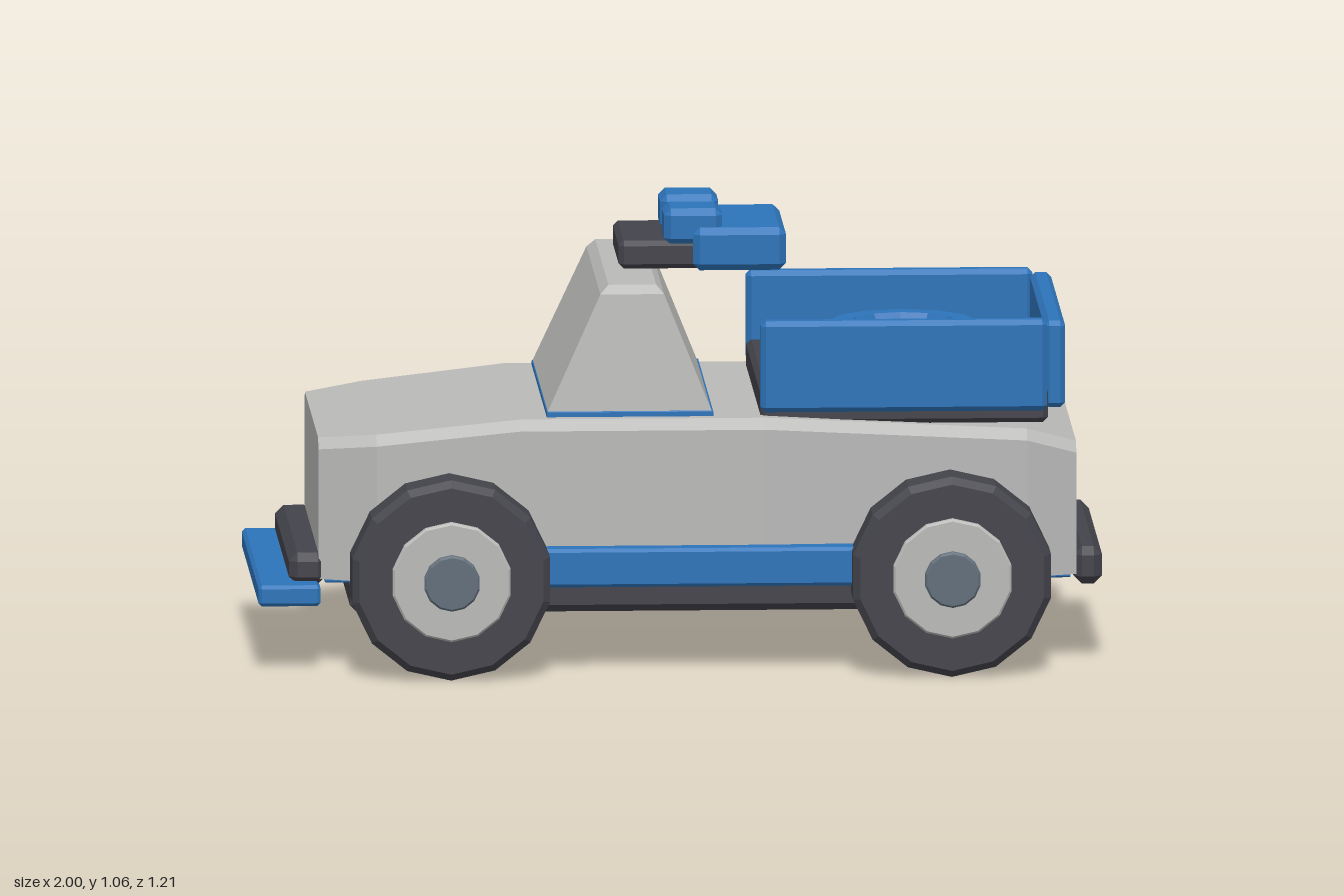
import * as THREE from 'three';
import { ConvexGeometry } from 'three/addons/geometries/ConvexGeometry.js';

const mat = (name, color) => {
  const m = new THREE.MeshStandardMaterial({ color });
  m.name = name;
  return m;
};

export function createModel() {
  const grey = mat('body grey', 0xb9b9b8);
  const blue = mat('trim blue', 0x2d74ba);
  const dark = mat('rubber dark', 0x43434b);
  const slate = mat('hub slate', 0x626e7a);
  const car = new THREE.Group();
  car.name = 'pickupTruck';

  const add = (name, geometry, material, parent = car) => {
    const mesh = new THREE.Mesh(geometry, material);
    mesh.name = name;
    parent.add(mesh);
    return mesh;
  };
  const hull = (name, points, material) =>
    add(name, new ConvexGeometry(points.map((p) => new THREE.Vector3(...p))), material);

  // Box given by its ranges, with every edge chamfered by c
  const block = (name, [x0, x1], [y0, y1], [z0, z1], material, c = 0.012) => {
    const points = [];
    for (const [x, dx] of [[x0, c], [x1, -c]])
      for (const [y, dy] of [[y0, c], [y1, -c]])
        for (const [z, dz] of [[z0, c], [z1, -c]])
          points.push([x, y + dy, z + dz], [x + dx, y, z + dz], [x + dx, y + dy, z]);
    return hull(name, points, material);
  };

  // Body: stations along its length as [x, half width, top]
  const stations = [
    [-0.855, 0.36, 0.55], [-0.72, 0.42, 0.565], [-0.38, 0.44, 0.602],
    [0.2, 0.44, 0.602], [0.82, 0.412, 0.567], [0.938, 0.37, 0.53],
  ];
  const bodyPoints = [];
  for (const [x, w, top] of stations)
    for (const s of [-1, 1])
      bodyPoints.push([x, 0.215, s * w], [x, top - 0.025, s * w], [x, top, s * (w - 0.025)]);
  hull('body', bodyPoints, grey);

  // Cabin: tapered wedge with clipped roof edges
  const cabinPoints = [];
  for (const s of [-1, 1])
    cabinPoints.push(
      [-0.315, 0.612, s * 0.383], [0.075, 0.612, s * 0.383],
      [-0.188, 0.89, s * 0.355], [-0.037, 0.89, s * 0.355],
      [-0.168, 0.91, s * 0.335], [-0.055, 0.91, s * 0.335]);
  hull('cabin', cabinPoints, grey);
  block('cabinBase', [-0.316, 0.078], [0.597, 0.615], [-0.386, 0.386], blue, 0.002);

  // Underside
  block('underPlate', [-0.84, 0.925], [0.205, 0.218], [-0.36, 0.36], blue, 0.003);
  block('underPlateMiddle', [-0.7, 0.82], [0.204, 0.218], [-0.41, 0.41], blue, 0.003);
  block('chassis', [-0.78, 0.85], [0.13, 0.212], [-0.36, 0.36], dark, 0.018);

  // Bumpers
  block('frontBumper', [-0.925, -0.837], [0.2, 0.277], [-0.37, 0.37], dark, 0.02);
  block('rearBumper', [0.932, 1], [0.187, 0.277], [-0.362, 0.362], dark, 0.02);
  block('frontSkidPlate', [-1, -0.853], [0.16, 0.21], [-0.43, 0.43], blue, 0.008);

  // Cargo bed
  block('bedFloor', [0.19, 0.87], [0.58, 0.665], [-0.385, 0.385], dark);
  block('tailgate', [0.862, 0.912], [0.612, 0.82], [-0.366, 0.366], blue);
  for (const [side, s] of [['left', 1], ['right', -1]]) {
    const z = s > 0 ? [0.35, 0.398] : [-0.398, -0.35];
    block(`${side === 'left' ? 'front' : 'back'}BedWall`, [0.19, 0.868], [0.61, 0.828], z, blue);
  }
  const ring = add('cargoRing', new THREE.TorusGeometry(0.15, 0.045, 6, 12).toNonIndexed(), blue);
  ring.geometry.computeVertexNormals();
  ring.rotation.x = -Math.PI / 2;
  ring.position.set(0.545, 0.725, 0);

  // Roof equipment
  block('roofMount', [-0.135, 0.08], [0.918, 0.985], [-0.16, 0.16], dark);
  block('roofBox', [0.04, 0.26], [0.916, 1.018], [-0.185, 0.185], blue, 0.016);

  // Parts repeated on both sides
  for (const s of [-1, 1]) {
    const span = (a, b) => (s > 0 ? [a, b] : [-b, -a]);
    block('roofLamp', [-0.028, 0.11], [0.975, 1.062], span(0.038, 0.168), blue, 0.016);
    block('sideSill', [-0.36, 0.45], [0.21, 0.302], span(0.41, 0.49), blue, 0.008);

    for (const x of [-0.55, 0.635]) {
      const wheel = new THREE.Group();
      wheel.name = 'wheel';
      wheel.position.set(x, 0.24, s * 0.43);
      wheel.rotation.x = s * Math.PI / 2;
      car.add(wheel);
      // Chamfered discs turned about the axle, growing outward
      const disc = (name, r, from, to, c, sides, material) => {
        const profile = [[0, from], [r - c, from], [r, from + c], [r, to - c], [r - c, to], [0, to]];
        const g = new THREE.LatheGeometry(
          profile.map((p) => new THREE.Vector2(...p)), sides).toNonIndexed();
        g.computeVertexNormals();
        add(name, g, material, wheel);
      };
      disc('tyre', 0.24, 0, 0.138, 0.017, 14, dark);
      disc('rim', 0.143, 0.12, 0.158, 0.005, 14, grey);
      disc('hubCap', 0.067, 0.14, 0.175, 0.005, 14, slate);
    }
  }
  return car;
}
